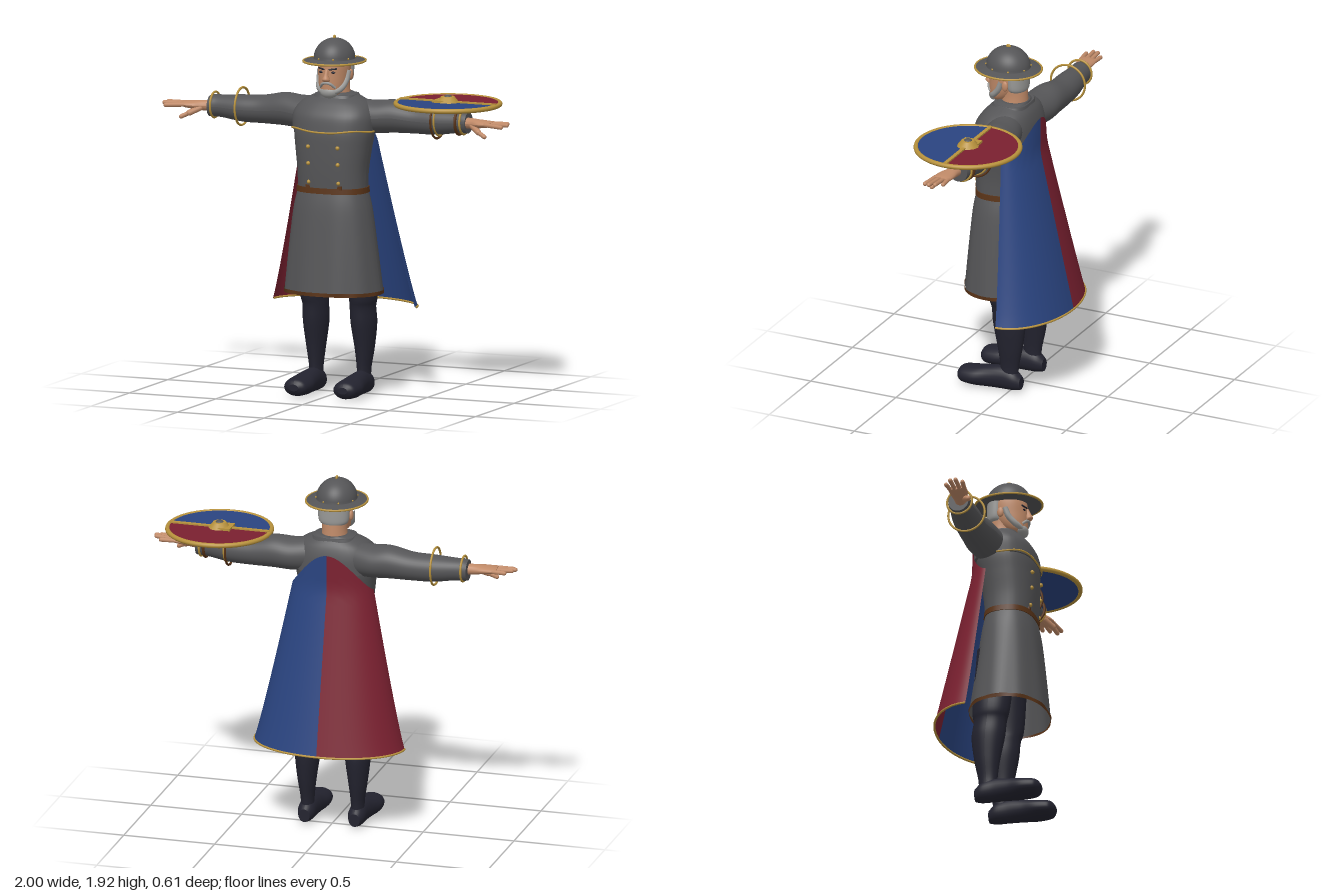
import * as THREE from 'three';

const mat = (name, color, side = THREE.FrontSide) => {
  const m = new THREE.MeshStandardMaterial({ color, side });
  m.name = name;
  return m;
};

// Smooth body through superellipse sections [t, u, v, ru, rv, power].
// axis y: u=x v=z; axis x: u=z v=y; axis z: u=y v=x
function loft(axis, secs, { n = 40, steps = 6, caps = true, wave = 0 } = {}) {
  const rows = [];
  const at = i => secs[Math.max(0, Math.min(secs.length - 1, i))];
  for (let i = 0; i < secs.length - 1; i++) {
    for (let k = 0; k < steps + (i === secs.length - 2 ? 1 : 0); k++) {
      const t = k / steps;
      rows.push([0, 1, 2, 3, 4, 5].map(c => {
        const [a, b, d, e] = [at(i - 1), at(i), at(i + 1), at(i + 2)].map(s => s[c] ?? 2);
        return b + 0.5 * t * (d - a + t * (2 * a - 5 * b + 4 * d - e + t * (3 * (b - d) + e - a)));
      }));
    }
  }
  if (caps) {
    const first = rows[0], last = rows[rows.length - 1];
    const shut = r => [r[0], r[1], r[2], 1e-4, 1e-4, 2];
    rows.unshift(shut(first), first);
    rows.push(last, shut(last));
  }
  const pos = [], idx = [];
  rows.forEach(([t, u, v, ru, rv, p], j) => {
    for (let i = 0; i <= n; i++) {
      const a = (i % n) / n * Math.PI * 2, c = Math.cos(a), s = Math.sin(a);
      const f = 1 + wave * (j / rows.length) * Math.cos(a * 10);
      const U = u + f * ru * Math.sign(c) * Math.abs(c) ** (2 / p);
      const V = v + f * rv * Math.sign(s) * Math.abs(s) ** (2 / p);
      pos.push(...(axis === 'y' ? [U, t, V] : axis === 'x' ? [t, V, U] : [V, U, t]));
    }
  });
  const up = secs[secs.length - 1][0] > secs[0][0];
  for (let j = 0; j < rows.length - 1; j++) {
    if (caps && (j === 1 || j === rows.length - 3)) continue;
    for (let i = 0; i < n; i++) {
      const a = j * (n + 1) + i, b = a + n + 1;
      if (up) idx.push(a, b, a + 1, b, b + 1, a + 1);
      else idx.push(a, a + 1, b, b, a + 1, b + 1);
    }
  }
  const g = new THREE.BufferGeometry();
  g.setAttribute('position', new THREE.Float32BufferAttribute(pos, 3));
  g.setIndex(idx);
  g.computeVertexNormals();
  return g;
}

const V = (x, y, z) => new THREE.Vector3(x, y, z);
const tube = (pts, r, seg = 48) =>
  new THREE.TubeGeometry(new THREE.CatmullRomCurve3(pts), seg, r, 8);
const ball = (x, y, z, rx, ry = rx, rz = rx) =>
  new THREE.SphereGeometry(1, 20, 14).scale(rx, ry, rz).translate(x, y, z);
const box = (x, y, z, w, h, d) => new THREE.BoxGeometry(w, h, d).translate(x, y, z);
// Rounded rod between two points
function rod(a, b, r) {
  const d = b.clone().sub(a), q = new THREE.Quaternion().setFromUnitVectors(V(0, 1, 0), d.clone().normalize());
  const mid = a.clone().add(b).multiplyScalar(0.5);
  return new THREE.CapsuleGeometry(r, d.length(), 5, 10).applyQuaternion(q).translate(mid.x, mid.y, mid.z);
}
function mirror(geo) {
  const g = geo.clone().scale(-1, 1, 1), ix = g.index.array;
  for (let i = 0; i < ix.length; i += 3) [ix[i], ix[i + 1]] = [ix[i + 1], ix[i]];
  return g;
}

export function createModel() {
  const grey = mat('grey cloth and iron', 0x555557, THREE.DoubleSide);
  const red = mat('red', 0x7a2030, THREE.DoubleSide);
  const blue = mat('blue', 0x2a4480, THREE.DoubleSide);
  const gold = mat('gold trim', 0xb8923c);
  const brown = mat('brown leather', 0x5a3418, THREE.DoubleSide);
  const skin = mat('skin', 0xc08a68);
  const hairMat = mat('grey hair', 0x999997);
  const dark = mat('dark leggings', 0x23232f);

  const model = new THREE.Group();
  model.name = 'cloakedGuard';
  const add = (name, geo, m) => {
    const mesh = new THREE.Mesh(geo, m);
    mesh.name = name;
    model.add(mesh);
  };
  const both = (name, geo, m, m2 = m) => {
    add('left ' + name, geo, m);
    add('right ' + name, mirror(geo), m2);
  };

  // Tunic, shoulder mantle, collar
  add('tunic', loft('y', [[1.08, 0, .10, .188, .13, 2.5], [1.2, 0, .10, .19, .137, 2.5],
    [1.32, 0, .092, .204, .147, 2.5], [1.42, 0, .08, .215, .155, 2.5], [1.5, 0, .07, .2, .14, 2.5]]), grey);
  add('mantle', loft('y', [[1.42, 0, .077, .225, .167, 2.5], [1.5, 0, .073, .225, .155, 2.5],
    [1.56, 0, .06, .19, .125, 2.4], [1.6, 0, .05, .12, .09, 2.2], [1.615, 0, .045, .085, .08, 2]]), grey);
  add('collar', loft('y', [[1.57, 0, .055, .13, .105, 3], [1.605, 0, .05, .112, .092, 3]]), grey);
  const trim = [];
  for (let i = 0; i <= 24; i++) {
    const a = Math.PI * i / 24, c = Math.cos(a), s = Math.max(Math.sin(a), 0);
    trim.push(V(.226 * Math.sign(c) * Math.abs(c) ** .8, 1.418 + .012 * Math.sin(2 * a) ** 2, .077 + .168 * s ** .8));
  }
  add('mantleTrim', tube(trim, .005), gold);
  for (const [y, z] of [[1.34, .236], [1.25, .233], [1.15, .225]]) both('button', ball(.085, y, z, .011), gold);
  both('pocketTab', box(.09, 1.125, .222, .03, .02, .009), brown);

  // Skirt, belt, hem
  const skirtEnd = [.56, 0, .09, .268, .205, 2.2];
  add('skirt', loft('y', [[1.1, 0, .10, .188, .13, 2.5], [1.0, 0, .10, .213, .15, 2.4],
    [.8, 0, .097, .24, .175, 2.3], skirtEnd], { caps: false, n: 80, wave: .012 }), grey);
  add('skirtHem', loft('y', [skirtEnd, [.55, 0, .09, .27, .207, 2.2], [.57, 0, .09, .271, .208, 2.2]].slice(1),
    { caps: false, n: 80, wave: .012 }), brown);
  add('belt', loft('y', [[1.09, 0, .10, .196, .137, 2.5], [1.12, 0, .10, .194, .135, 2.5]]), brown);

  // Cape: half an elliptical cone per side, highest at the middle of the back
  const capePoint = (phi, v) => {
    const s = Math.sin(phi), top = 1.33 + .2 * s * s, y = .47 + (top - .47) * v;
    const k = (y - .47) / .87;
    const w = .41 - .19 * k ** .9, zs = -.04 + .06 * Math.min(k, 1);
    const zb = -.30 + .196 * Math.min(k, 1);
    return V(w * Math.cos(phi), y, zs - (zs - zb) * s);
  };
  const cape = new THREE.PlaneGeometry(1, 1, 24, 24), cp = cape.attributes.position;
  for (let i = 0; i < cp.count; i++) {
    const p = capePoint((cp.getX(i) + .5) * Math.PI / 2, cp.getY(i) + .5);
    cp.setXYZ(i, p.x, p.y, p.z);
  }
  const ci = cape.index.array;
  for (let i = 0; i < ci.length; i += 3) [ci[i], ci[i + 1]] = [ci[i + 1], ci[i]];
  cape.computeVertexNormals();
  both('capeHalf', cape, blue, red);
  add('capeHem', tube(Array.from({ length: 33 }, (_, i) => capePoint(Math.PI * i / 32, 0)), .006, 64), gold);

  // Legs and boots
  both('leg', loft('y', [[.07, .138, .01, .036, .05], [.14, .138, .008, .036, .052], [.25, .14, .005, .05, .07],
    [.38, .138, .01, .066, .09], [.47, .136, .02, .066, .09], [.56, .138, .028, .073, .102],
    [.9, .1, .05, .085, .11]]), dark);
  both('boot', loft('z', [[-.06, .05, .138, .035, .03], [-.02, .062, .138, .056, .046], [.05, .068, .138, .064, .05],
    [.13, .063, .14, .06, .06], [.2, .057, .142, .054, .073], [.26, .055, .142, .048, .068],
    [.285, .055, .142, .038, .055], [.3, .055, .142, .018, .028]], { n: 24 }), dark);

  // Sleeves, hands, bracelets
  both('sleeve', loft('x', [[.12, .03, 1.49, .09, .09], [.22, .015, 1.488, .1, .088], [.32, .005, 1.495, .092, .088],
    [.44, 0, 1.485, .08, .076], [.56, .005, 1.483, .075, .072], [.68, .01, 1.488, .06, .06],
    [.72, .013, 1.488, .058, .06], [.745, .016, 1.486, .055, .056]]), grey);
  both('palm', loft('x', [[.7, .025, 1.488, .033, .03], [.77, .033, 1.488, .034, .028], [.82, .043, 1.49, .047, .023],
    [.87, .046, 1.492, .05, .018], [.895, .046, 1.494, .042, .011]], { n: 20 }), skin);
  [[.085, .968, .1, 1.487], [.06, .988, .068, 1.495], [.034, .978, .036, 1.498], [.01, .945, .005, 1.492]]
    .forEach(([z, x, z2, y], i) => both('finger' + (i + 1), rod(V(.87, 1.492, z), V(x, y, z2), .0115), skin));
  both('thumb', rod(V(.785, 1.478, .058), V(.835, 1.452, .092), .016), skin);
  both('thumbTip', rod(V(.835, 1.452, .092), V(.875, 1.432, .105), .012), skin);
  const ring = (x, z, r, t) => new THREE.TorusGeometry(r, t, 8, 40).rotateY(Math.PI / 2).translate(x, 1.493, z);
  both('elbowRing', ring(.565, .01, .1, .006), brown, gold);
  both('wristRing', ring(.72, .015, .068, .006), gold);
  add('left strap', ring(.695, .015, .07, .008), brown);
  add('left innerRing', ring(.577, .01, .085, .005), gold);

  // Shield lying flat above the left forearm
  const sx = .625, sy = 1.582, sz = .015, half = Math.PI;
  const disc = start => new THREE.CylinderGeometry(.28, .28, .016, 40, 1, false, start, half).translate(sx, sy, sz);
  add('shieldFront', disc(-half / 2), blue);
  add('shieldBack', disc(half / 2), red);
  add('shieldRim', new THREE.TorusGeometry(.275, .013, 10, 72).rotateX(half / 2).translate(sx, sy, sz), gold);
  add('shieldBar', box(sx, sy + .01, sz, .55, .012, .02), gold);
  add('shieldPlate', box(sx - .035, sy + .012, sz, .07, .016, .1), gold);
  add('shieldBoss', new THREE.CylinderGeometry(.036, .062, .034, 10).translate(sx, sy + .022, sz), gold);
  add('shieldBossCap', ball(sx, sy + .036, sz, .022, .012, .022), grey);

  // Head
  add('neck', loft('y', [[1.56, 0, .045, .075, .075], [1.64, 0, .045, .066, .07], [1.72, 0, .05, .07, .07]]), skin);
  add('head', loft('y', [[1.605, 0, .135, .035, .04], [1.625, 0, .122, .058, .062], [1.66, 0, .103, .073, .083],
    [1.71, 0, .086, .081, .101], [1.78, 0, .08, .084, .104], [1.84, 0, .08, .07, .085]]), skin);
  add('nose', loft('y', [[1.685, 0, .19, .019, .014], [1.697, 0, .195, .02, .021], [1.72, 0, .189, .012, .017],
    [1.75, 0, .18, .01, .012]], { n: 16 }), skin);
  both('ear', ball(.086, 1.712, .062, .011, .028, .018), skin);
  both('eye', ball(.034, 1.733, .178, .013, .006, .006), dark);
  both('eyebrow', rod(V(.017, 1.749, .187), V(.05, 1.753, .171), .0045), dark);
  add('hair', loft('y', [[1.675, 0, .025, .07, .05], [1.7, 0, .025, .083, .055], [1.79, 0, .028, .087, .058]]), hairMat);
  add('jawBeard', tube([V(.082, 1.735, .085), V(.077, 1.68, .108), V(.058, 1.64, .145), V(0, 1.622, .172),
    V(-.058, 1.64, .145), V(-.077, 1.68, .108), V(-.082, 1.735, .085)], .016), hairMat);
  add('chinBeard', ball(0, 1.625, .155, .05, .034, .035), hairMat);
  add('moustache', tube([V(.042, 1.65, .168), V(.022, 1.672, .188), V(0, 1.677, .193),
    V(-.022, 1.672, .188), V(-.042, 1.65, .168)], .0075, 24), hairMat);

  // Wide-brimmed iron helmet
  const dome = [V(.178, 1.779, 0), V(.18, 1.785, 0), V(.122, 1.795, 0)];
  for (let i = 0; i <= 14; i++) {
    const a = Math.PI / 2 * i / 14;
    dome.push(V(.12 * Math.cos(a), 1.797 + .108 * Math.sin(a), 0));
  }
  add('helmet', new THREE.LatheGeometry([V(.085, 1.783, 0), ...dome], 48).scale(.9, 1, 1).translate(0, 0, .083), grey);
  add('helmetRim', new THREE.TorusGeometry(.18, .006, 8, 64).rotateX(Math.PI / 2)
    .scale(.9, 1, 1).translate(0, 1.783, .083), gold);
  add('helmetKnob', ball(0, 1.907, .083, .007, .013, .014), gold);
  for (let i = 0; i < 8; i++) {
    const a = Math.PI * (i + .5) / 4;
    add('helmetStud' + (i + 1), ball(.109 * Math.cos(a), 1.803, .083 + .121 * Math.sin(a), .005), gold);
  }
  return model;
}
